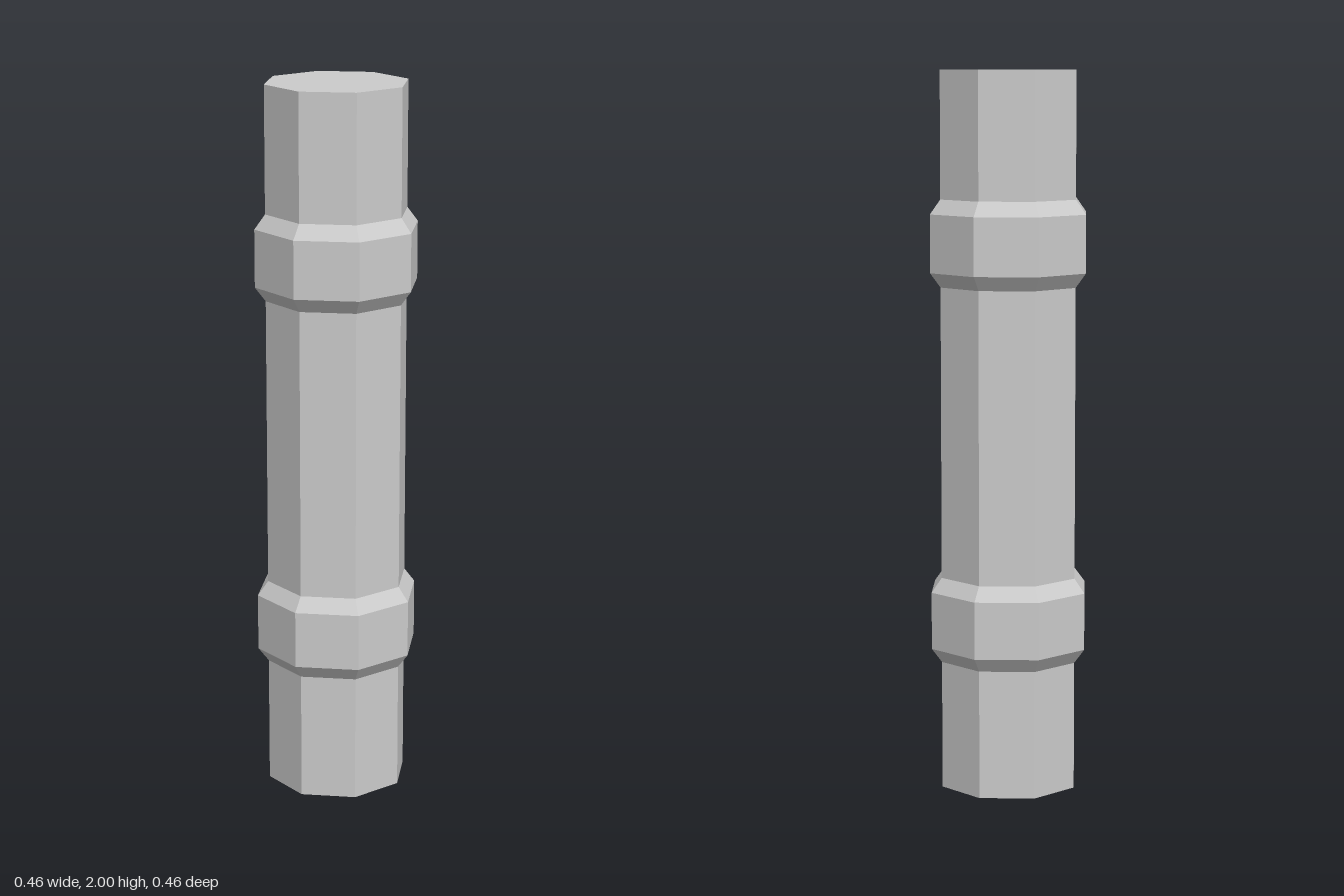
import * as THREE from 'three';

const SIDES = 8;
const SHAFT_RADIUS = 0.2;
const COLLAR_RADIUS = 0.23;
const HEIGHT = 2;

// Profile of one bevelled collar, from its lower to its upper edge
function collarProfile(bottom) {
  return [
    [SHAFT_RADIUS, bottom],
    [COLLAR_RADIUS, bottom + 0.04],
    [COLLAR_RADIUS, bottom + 0.2],
    [SHAFT_RADIUS, bottom + 0.24],
  ];
}

export function createModel() {
  const group = new THREE.Group();
  group.name = 'collaredPipe';

  // Closed octagonal pipe with two collars, turned as one continuous surface
  const profile = [
    [0, 0],
    [SHAFT_RADIUS, 0],
    ...collarProfile(0.36),
    ...collarProfile(1.41),
    [SHAFT_RADIUS, HEIGHT],
    [0, HEIGHT],
  ].map(([r, y]) => new THREE.Vector2(r, y));

  const material = new THREE.MeshStandardMaterial({ color: 0xcccccc, flatShading: true });
  const pipe = new THREE.Mesh(new THREE.LatheGeometry(profile, SIDES), material);
  pipe.name = 'pipeWithCollars';
  group.add(pipe);

  return group;
}
